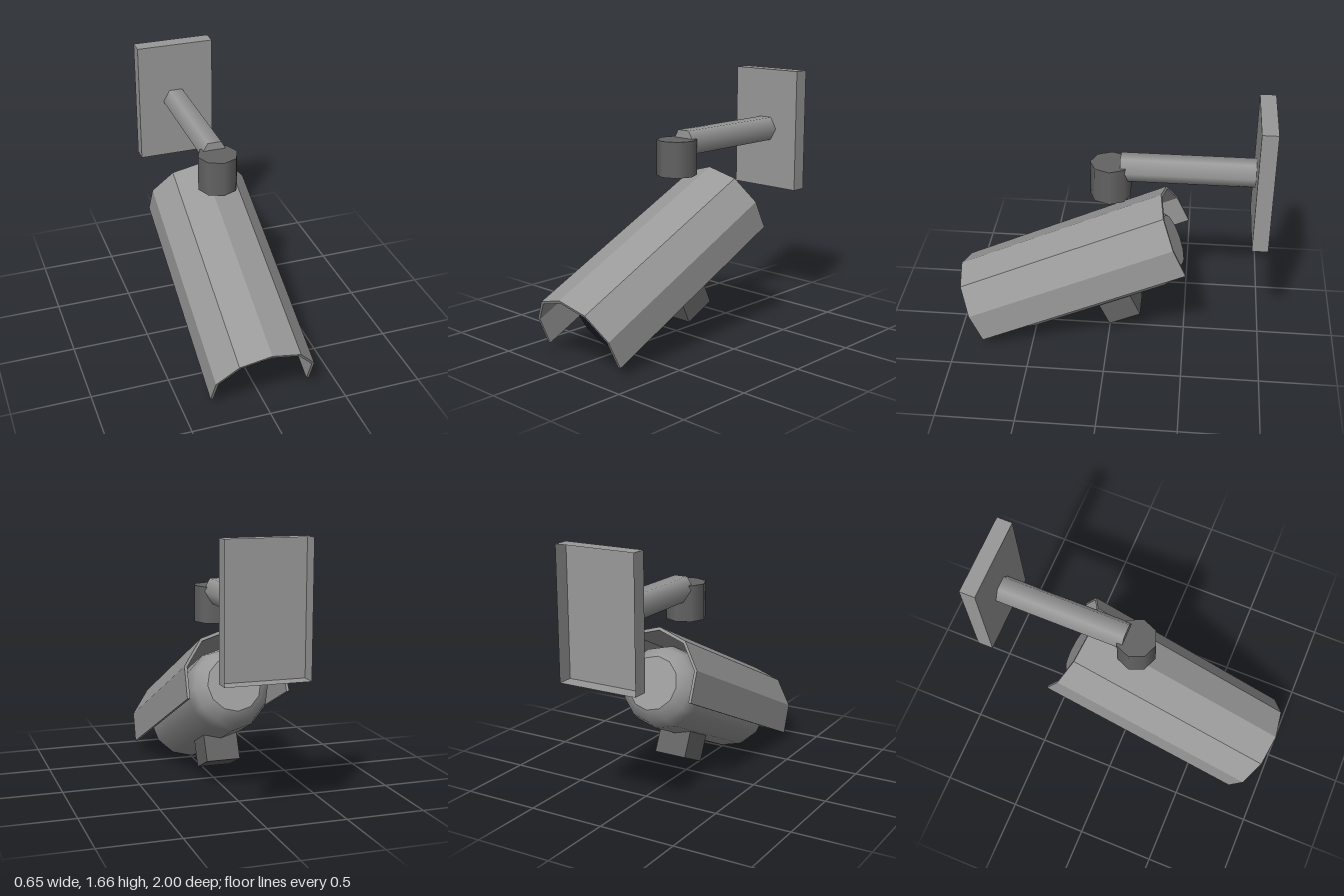
import * as THREE from 'three';

const grey = new THREE.MeshStandardMaterial({ color: 0x999999, side: THREE.DoubleSide });
grey.name = 'light grey';
const dark = new THREE.MeshStandardMaterial({ color: 0x636363 });
dark.name = 'dark grey';
const glass = new THREE.MeshStandardMaterial({ color: 0x1c1c28 });
glass.name = 'lens black';

function add(parent, name, geometry, material, x = 0, y = 0, z = 0) {
  const mesh = new THREE.Mesh(geometry, material);
  mesh.name = name;
  mesh.position.set(x, y, z);
  parent.add(mesh);
  return mesh;
}

// Folded sheet: outer half-profile, then inner half-profile, mirrored across x
function hoodGeometry(length) {
  const outer = [[0.325, 0.398], [0.318, 0.597], [0.195, 0.763], [0, 0.824]];
  const inner = [[0, 0.803], [0.186, 0.746], [0.301, 0.593], [0.308, 0.398]];
  const mirror = (pts) => pts.filter((p) => p[0] > 0).reverse().map(([x, y]) => [-x, y]);
  const loop = [...outer, ...mirror(outer), ...mirror(inner), ...inner];
  const shape = new THREE.Shape(loop.map(([x, y]) => new THREE.Vector2(x, y)));
  return new THREE.ExtrudeGeometry(shape, { depth: length, bevelEnabled: false });
}

export function createModel() {
  const model = new THREE.Group();
  model.name = 'securityCamera';

  // Wall plate: shallow tray, open at the back
  const plate = new THREE.BoxGeometry(0.52, 0.815, 0.1);
  plate.setIndex(Array.from(plate.index.array).slice(0, 30));
  plate.clearGroups();
  add(model, 'wallPlate', plate, grey, 0, 1.2525, -0.95);

  // Hexagonal arm and the swivel drum at its end
  const arm = new THREE.CylinderGeometry(0.09, 0.09, 0.835, 6, 1, false, Math.PI / 2);
  add(model, 'arm', arm.rotateX(Math.PI / 2), grey, 0, 1.2525, -0.4825);
  add(model, 'swivelDrum', new THREE.CylinderGeometry(0.129, 0.129, 0.23, 8), dark, 0, 1.165, -0.003);

  // Camera head, tilted downwards
  const head = new THREE.Group();
  head.name = 'cameraHead';
  head.rotation.x = THREE.MathUtils.degToRad(25);
  model.add(head);

  add(head, 'hood', hoodGeometry(1.458), grey, 0, 0, -0.738);

  // Body with a rounded rear end
  const profile = [[0.17, -0.678], [0.239, -0.62], [0.263, -0.522], [0.263, 0.44], [0.252, 0.487]];
  const body = new THREE.LatheGeometry(profile.map(([r, s]) => new THREE.Vector2(r, s)), 12);
  add(head, 'body', body.rotateX(Math.PI / 2), grey, 0, 0.48, 0);
  add(head, 'rearCap', new THREE.CircleGeometry(0.17, 12).rotateY(Math.PI), grey, 0, 0.48, -0.678);
  add(head, 'lens', new THREE.CircleGeometry(0.252, 12), glass, 0, 0.48, 0.487);

  // Block under the body
  add(head, 'underBlock', new THREE.BoxGeometry(0.22, 0.2, 0.226), dark, 0, 0.175, -0.153);

  return model;
}
